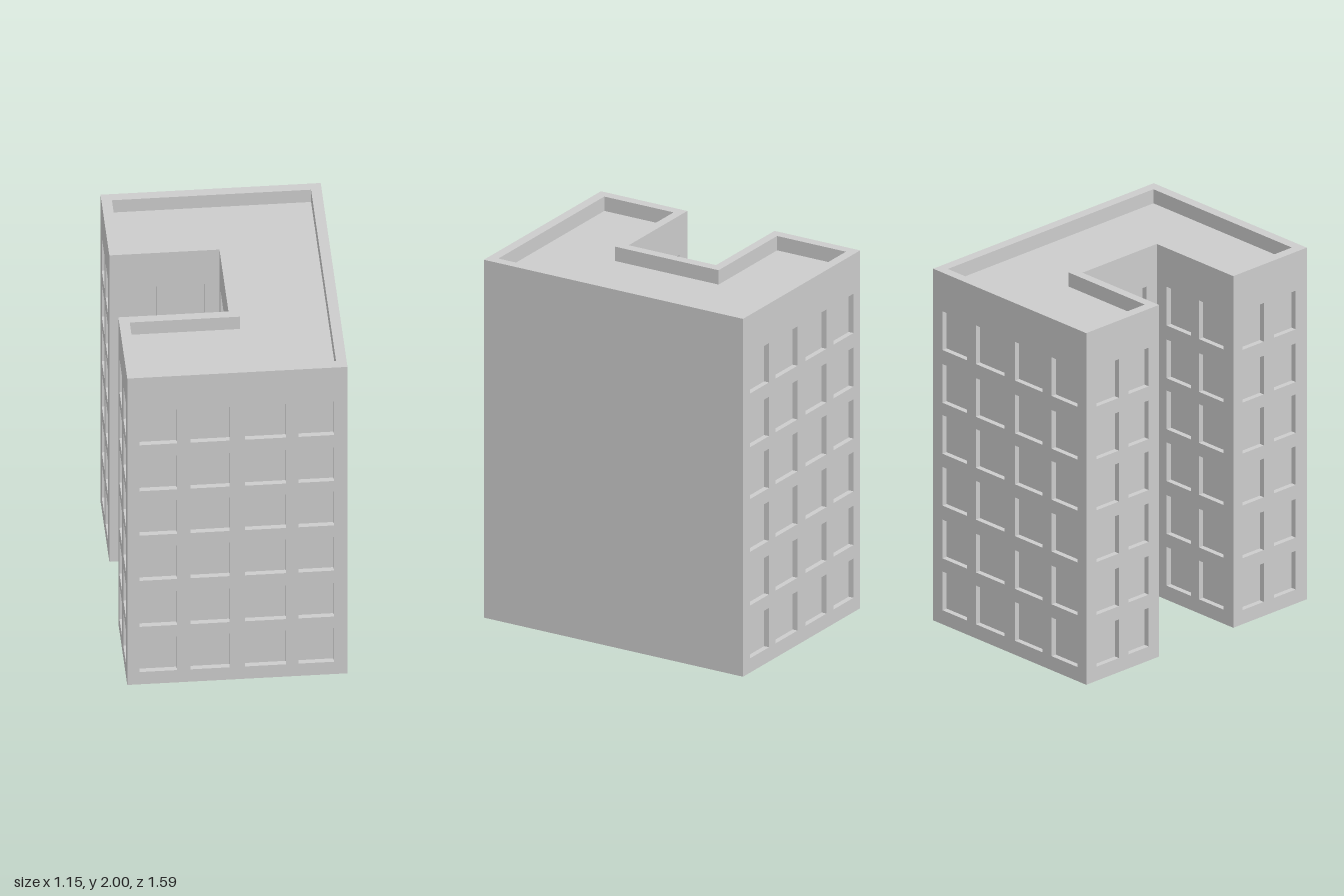
import * as THREE from 'three';
import { mergeGeometries } from 'three/addons/utils/BufferGeometryUtils.js';

const HEIGHT = 2, ROOF = 1.92, RECESS = 0.03;
const ROWS = [[0.08, 0.3], [0.375, 0.595], [0.675, 0.895], [0.97, 1.19], [1.26, 1.48], [1.56, 1.78]];

// U-shaped plan [x, z]; walls run along it with their faces outward
const PLAN = [[-0.575, 0.795], [0.575, 0.795], [0.575, -0.795], [-0.575, -0.795],
  [-0.575, -0.27], [0, -0.27], [0, 0.265], [-0.575, 0.265]];
// Plan of the roof inside the parapet
const INNER = [[-0.52, 0.74], [0.52, 0.74], [0.52, -0.742], [-0.52, -0.742],
  [-0.52, -0.32], [0.055, -0.32], [0.055, 0.315], [-0.52, 0.315]];

// Each wall's name and window columns, measured along the wall from its start
const WALLS = [
  ['frontWall', [[0.065, 0.26], [0.33, 0.535], [0.615, 0.83], [0.895, 1.08]]],
  ['plainSideWall', []],
  ['backWall', [[0.07, 0.255], [0.32, 0.535], [0.615, 0.82], [0.89, 1.085]]],
  ['backWingEndWall', [[0.075, 0.235], [0.305, 0.45]]],
  ['courtyardBackWingWall', [[0.07, 0.25], [0.32, 0.5]]],
  ['courtyardInnerWall', [[0.073, 0.23], [0.3, 0.46]]],
  ['courtyardFrontWingWall', [[0.075, 0.257], [0.317, 0.5]]],
  ['frontWingEndWall', [[0.065, 0.22], [0.295, 0.45]]],
];

const rect = (Type, x0, x1, y0, y1) => new Type(
  [[x0, y0], [x1, y0], [x1, y1], [x0, y1]].map(([x, y]) => new THREE.Vector2(x, y)));

// Inside-out box without its front: the reveals and pane of a window
function windowRecess(x0, x1, y0, y1) {
  const g = new THREE.BoxGeometry(x1 - x0, y1 - y0, RECESS);
  const index = Array.from(g.index.array);
  index.splice(24, 6);
  g.setIndex(index.reverse());
  const n = g.attributes.normal;
  for (let i = 0; i < n.count; i++) n.setXYZ(i, -n.getX(i), -n.getY(i), -n.getZ(i));
  return g.translate((x0 + x1) / 2, (y0 + y1) / 2, -RECESS / 2);
}

// Upright wall from a to b, with recessed windows in every row
function wallGeometry(a, b, y0, y1, columns = []) {
  const dx = b[0] - a[0], dz = b[1] - a[1];
  const shape = rect(THREE.Shape, 0, Math.hypot(dx, dz), y0, y1);
  const recesses = [];
  for (const [s0, s1] of columns) {
    for (const [r0, r1] of ROWS) {
      shape.holes.push(rect(THREE.Path, s0, s1, r0, r1));
      recesses.push(windowRecess(s0, s1, r0, r1));
    }
  }
  return mergeGeometries([new THREE.ShapeGeometry(shape), ...recesses])
    .rotateY(Math.atan2(-dz, dx)).translate(a[0], 0, a[1]);
}

// Level surface with the given plan, facing up or down
function slabGeometry(plan, y, up, hole) {
  const sign = up ? -1 : 1;
  const points = (p) => p.map(([x, z]) => new THREE.Vector2(x, sign * z));
  const shape = new THREE.Shape(points(plan));
  if (hole) shape.holes.push(new THREE.Path(points(hole)));
  return new THREE.ShapeGeometry(shape).rotateX(sign * Math.PI / 2).translate(0, y, 0);
}

export function createModel() {
  const building = new THREE.Group();
  building.name = 'apartmentBlock';
  const material = new THREE.MeshStandardMaterial({ color: 0xcccccc });
  const add = (name, geometry) => {
    const mesh = new THREE.Mesh(geometry, material);
    mesh.name = name;
    building.add(mesh);
  };

  // Outer walls with windows
  WALLS.forEach(([name, columns], i) => {
    add(name, wallGeometry(PLAN[i], PLAN[(i + 1) % PLAN.length], 0, HEIGHT, columns));
  });

  // Parapet: level rim and the walls facing in over the roof
  add('parapetRim', slabGeometry(PLAN, HEIGHT, true, INNER));
  add('parapetInside', mergeGeometries(INNER.map((p, i) =>
    wallGeometry(INNER[(i + 1) % INNER.length], p, ROOF, HEIGHT))));

  // Roof deck and underside
  add('roofDeck', slabGeometry(INNER, ROOF, true));
  add('underside', slabGeometry(PLAN, 0, false));
  return building;
}
